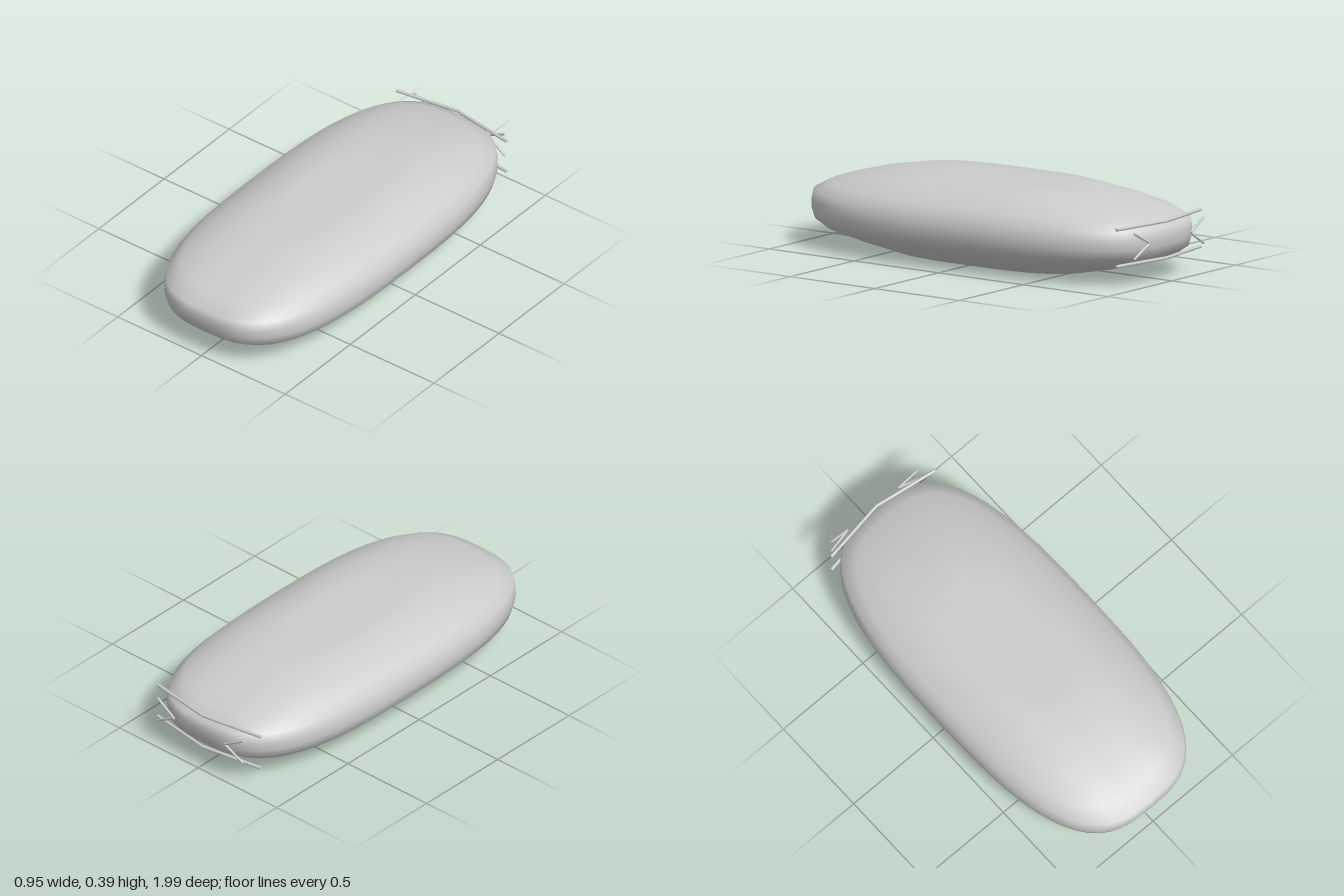
import * as THREE from 'three';

const material = new THREE.MeshStandardMaterial({ color: 0xcccccc, side: THREE.DoubleSide });

// Stacked horizontal superellipse loops: [y, half width, half length]
const profile = [
  [0, 0, 0], [0, 0.16, 0.33], [0, 0.265, 0.55], [0.045, 0.35, 0.76], [0.09, 0.425, 0.92],
  [0.13, 0.463, 0.975], [0.175, 0.474, 0.988], [0.215, 0.47, 0.992], [0.26, 0.458, 0.985],
  [0.303, 0.42, 0.905], [0.343, 0.35, 0.76], [0.387, 0.25, 0.53], [0.387, 0.15, 0.32], [0.387, 0, 0],
];

function bodyGeometry(segments = 56, power = 2 / 2.95) {
  const positions = [], indices = [];
  const round = (v) => Math.sign(v) * Math.pow(Math.abs(v), power);
  profile.forEach(([y, a, b], i) => {
    for (let j = 0; j < segments; j++) {
      const t = (j / segments) * Math.PI * 2;
      positions.push(a * round(Math.cos(t)), y, 0.004 + b * round(Math.sin(t)));
      if (i === profile.length - 1) continue;
      const p = i * segments + j, q = i * segments + (j + 1) % segments;
      indices.push(p, p + segments, q, q, p + segments, q + segments);
    }
  });
  const geometry = new THREE.BufferGeometry();
  geometry.setAttribute('position', new THREE.Float32BufferAttribute(positions, 3));
  geometry.setIndex(indices);
  geometry.computeVertexNormals();
  return geometry;
}

// Thin round rod between two points
function rod(from, to, radius, name) {
  const a = new THREE.Vector3(...from), b = new THREE.Vector3(...to);
  const dir = b.clone().sub(a);
  const mesh = new THREE.Mesh(new THREE.CylinderGeometry(radius, radius, dir.length(), 10), material);
  mesh.position.copy(a).add(b).multiplyScalar(0.5);
  mesh.quaternion.setFromUnitVectors(new THREE.Vector3(0, 1, 0), dir.normalize());
  mesh.name = name;
  return mesh;
}

export function createModel() {
  const model = new THREE.Group();
  model.name = 'roundedPod';

  // Pillow-shaped body with flat top and bottom
  const body = new THREE.Mesh(bodyGeometry(), material);
  body.name = 'body';
  model.add(body);

  // Bent bars and inward-pointing chevrons across the back end
  const frame = new THREE.Group();
  frame.name = 'rearFrame';
  for (const side of [-1, 1]) {
    for (const [y, name] of [[0.285, 'upperBar'], [0.108, 'lowerBar']]) {
      frame.add(rod([0, y, -0.972], [side * 0.328, y, -0.922], 0.008, name));
    }
    for (const y of [0.265, 0.14]) {
      frame.add(rod([side * 0.16, 0.205, -0.993], [side * 0.272, y, -0.983], 0.006, 'chevronArm'));
    }
  }
  model.add(frame);
  return model;
}
